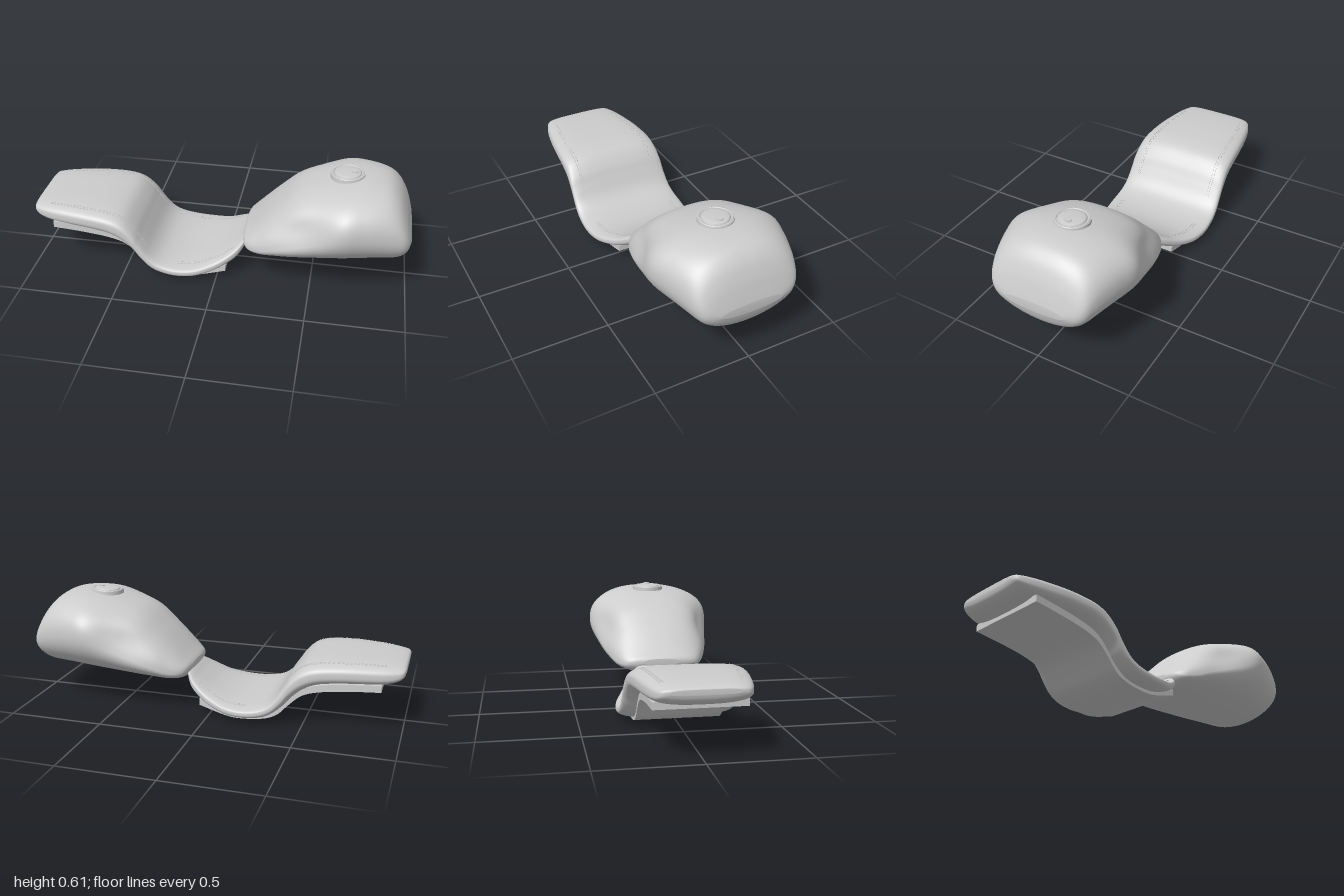
import * as THREE from 'three';
import { mergeGeometries } from 'three/addons/utils/BufferGeometryUtils.js';

// Stations: [x, bottom, widest height, top, half width]
const TANK = [
  [0.128, 0.205, 0.22, 0.24, 0.10], [0.14, 0.18, 0.215, 0.255, 0.17],
  [0.17, 0.157, 0.21, 0.285, 0.215], [0.23, 0.15, 0.22, 0.35, 0.25],
  [0.3, 0.152, 0.25, 0.42, 0.28], [0.4, 0.156, 0.29, 0.505, 0.31],
  [0.52, 0.161, 0.34, 0.553, 0.333], [0.65, 0.167, 0.40, 0.582, 0.355],
  [0.76, 0.173, 0.40, 0.59, 0.33], [0.86, 0.178, 0.385, 0.575, 0.30],
  [0.92, 0.183, 0.37, 0.53, 0.28], [0.96, 0.205, 0.35, 0.46, 0.26],
  [0.985, 0.245, 0.33, 0.39, 0.225], [1, 0.29, 0.315, 0.34, 0.16],
];
const SEAT = [
  [-1, 0.31, 0.32, 0.335, 0.16], [-0.99, 0.285, 0.315, 0.345, 0.195],
  [-0.96, 0.262, 0.305, 0.353, 0.215], [-0.9, 0.247, 0.3, 0.36, 0.235],
  [-0.8, 0.24, 0.3, 0.365, 0.255], [-0.7, 0.235, 0.3, 0.365, 0.27],
  [-0.58, 0.22, 0.29, 0.357, 0.282], [-0.5, 0.185, 0.26, 0.335, 0.286],
  [-0.44, 0.135, 0.21, 0.28, 0.29], [-0.4, 0.09, 0.155, 0.22, 0.292],
  [-0.35, 0.05, 0.1, 0.15, 0.296], [-0.29, 0.022, 0.07, 0.108, 0.299],
  [-0.2, 0.012, 0.055, 0.09, 0.3], [-0.1, 0.016, 0.06, 0.095, 0.285],
  [0, 0.045, 0.085, 0.125, 0.245], [0.08, 0.085, 0.13, 0.17, 0.205],
  [0.12, 0.125, 0.16, 0.2, 0.17], [0.15, 0.175, 0.2, 0.222, 0.12],
];
const SEAT_TOP = 3.5;

// Smooth station at u, measured in rows
function station(rows, u) {
  const i = Math.min(Math.floor(u), rows.length - 2), t = u - i;
  const row = k => rows[THREE.MathUtils.clamp(k, 0, rows.length - 1)];
  const [a, b, c, d] = [row(i - 1), row(i), row(i + 1), row(i + 2)];
  return b.map((p, k) => {
    const m = (c[k] - a[k]) / 2, n = (d[k] - p) / 2, e = c[k] - p;
    return p + t * (m + t * (3 * e - 2 * m - n + t * (m + n - 2 * e)));
  });
}

// Closed loft of superellipse sections along x
function loft(rows, topPower, bottomPower, reshape = (x, y, z) => z) {
  const sides = 72, steps = (rows.length - 1) * 6;
  const pos = [], index = [];
  for (let i = 0; i <= steps; i++) {
    const [x, bottom, mid, top, w] = station(rows, i / 6);
    for (let j = 0; j < sides; j++) {
      const a = j / sides * Math.PI * 2, c = Math.cos(a), s = Math.sin(a);
      const power = 2 / (s >= 0 ? topPower : bottomPower);
      const y = mid + Math.sign(s) * Math.abs(s) ** power * (s >= 0 ? top - mid : mid - bottom);
      const z = Math.sign(c) * Math.abs(c) ** power * w;
      pos.push(x, y, reshape(x, y, z));
    }
  }
  const first = pos.length / 3, last = steps * sides;
  for (const r of [rows[0], rows[rows.length - 1]]) pos.push(r[0], r[2], 0);
  for (let j = 0; j < sides; j++) {
    const k = (j + 1) % sides;
    for (let i = 0; i < steps; i++) {
      const p = i * sides, q = p + sides;
      index.push(p + j, q + j, q + k, p + j, q + k, p + k);
    }
    index.push(first, j, k, first + 1, last + k, last + j);
  }
  const g = new THREE.BufferGeometry();
  g.setAttribute('position', new THREE.Float32BufferAttribute(pos, 3));
  g.setIndex(index);
  g.computeVertexNormals();
  return g;
}

// Knee recesses pressed into both flanks of the tank
function kneeRecess(x, y, z) {
  const dx = (x - 0.42) / 0.14, dy = (y - 0.25 - x * 0.33) / 0.075;
  const side = THREE.MathUtils.smoothstep(Math.abs(z), 0.1, 0.25);
  return z - Math.sign(z) * 0.035 * side * Math.exp(-dx * dx - dy * dy);
}

// Curved shell under the seat
function seatBase() {
  const under = [[-0.89, 0.225], [-0.75, 0.215], [-0.6, 0.197], [-0.5, 0.168], [-0.43, 0.11],
    [-0.37, 0.048], [-0.3, 0.017], [-0.2, 0.004], [-0.1, 0.009], [0.05, 0.053]];
  const curve = new THREE.SplineCurve(under.map(p => new THREE.Vector2(...p)));
  const low = curve.getPoints(48);
  const high = low.map(p => new THREE.Vector2(p.x, p.y + 0.036)).reverse();
  const g = new THREE.ExtrudeGeometry(new THREE.Shape([...low, ...high]), { depth: 0.44, bevelEnabled: false });
  return g.translate(0, 0, -0.22);
}

// Double rows of stitches following the pad surface
function stitches(from, to, count, side) {
  const point = (u, offset) => {
    const [x, , mid, top, w] = station(SEAT, u);
    const r = 0.77 + offset;
    return new THREE.Vector3(x, mid + (top - mid) * (1 - r ** SEAT_TOP) ** (1 / SEAT_TOP), side * r * w);
  };
  const parts = [];
  for (const offset of [-0.022, 0.022]) {
    for (let i = 0; i < count; i++) {
      const u = from + (to - from) * i / (count - 1);
      const p = point(u, offset), ahead = point(u + 0.02, offset);
      const m = new THREE.Object3D();
      m.position.copy(p);
      m.lookAt(ahead);
      m.updateMatrix();
      parts.push(new THREE.BoxGeometry(0.004, 0.004, 0.011).applyMatrix4(m.matrix));
    }
  }
  return mergeGeometries(parts);
}

export function createModel() {
  const model = new THREE.Group();
  const grey = new THREE.MeshStandardMaterial({ color: 0xcccccc });
  grey.name = 'light grey';
  const add = (name, geometry, parent = model) => {
    const mesh = new THREE.Mesh(geometry, grey);
    mesh.name = name;
    parent.add(mesh);
    return mesh;
  };

  add('fuelTank', loft(TANK, 2.4, 2.05, kneeRecess));
  add('seatPad', loft(SEAT, SEAT_TOP, 2.6));
  add('seatBase', seatBase());
  for (const [label, side] of [['front', 1], ['back', -1]]) {
    add(label + 'RearStitching', stitches(3, 9.5, 36, side));
    add(label + 'SaddleStitching', stitches(12, 15, 18, side));
  }

  // Filler cap with a raised rim, domed lid and lock
  const cap = new THREE.Group();
  cap.name = 'fillerCap';
  cap.position.set(0.65, 0.583, 0);
  cap.rotation.z = 0.04;
  model.add(cap);
  add('capFlange', new THREE.CylinderGeometry(0.088, 0.09, 0.02, 48), cap);
  const rim = add('capRim', new THREE.TorusGeometry(0.08, 0.005, 8, 48), cap);
  rim.rotation.x = Math.PI / 2;
  rim.position.y = 0.009;
  const lid = [[0.07, 0], [0.07, 0.012], [0.064, 0.017], [0.045, 0.02], [0, 0.021]];
  add('capLid', new THREE.LatheGeometry(lid.map(p => new THREE.Vector2(...p)), 48), cap);
  const lock = add('capLock', new THREE.CylinderGeometry(0.017, 0.018, 0.01, 24), cap);
  lock.position.set(0.035, 0.02, 0);
  return model;
}
